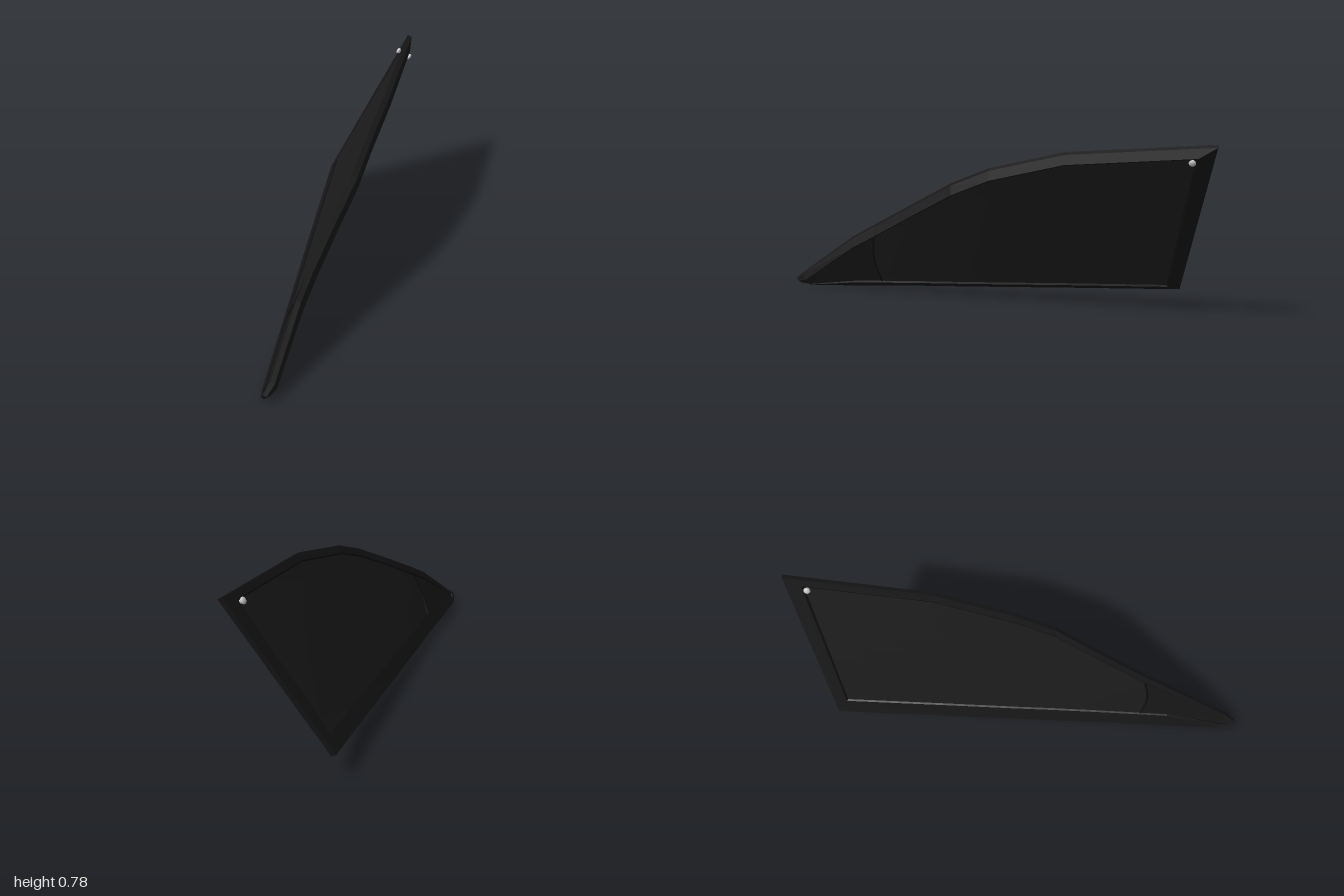
import * as THREE from 'three';

const V = (x, y, z) => new THREE.Vector3(x, y, z);
// direction through the thickness of the leaning panel
const N = V(0.88, -0.476, 0).normalize();

// ribs from rear to front: bottom x, y, z, top x, y, z, thickness factor
const RIBS = [
  [-0.195, 0.105, -0.83, 0.17, 0.782, -1, 1],
  [-0.194, 0.08, -0.33, 0.133, 0.728, -0.37, 1],
  [-0.193, 0.064, -0.03, 0.085, 0.642, -0.03, 1],
  [-0.192, 0.055, 0.15, 0.055, 0.566, 0.15, 1],
  [-0.191, 0.045, 0.36, -0.01, 0.45, 0.36, 1],
  [-0.19, 0.034, 0.555, -0.068, 0.338, 0.56, 1],
  [-0.19, 0.026, 0.68, -0.095, 0.27, 0.68, 0.95],
  [-0.189, 0.0105, 0.92, -0.148, 0.075, 0.955, 0.9],
  [-0.182, 0.022, 0.99, -0.168, 0.042, 1, 0.7],
].map(r => ({ b: V(r[0], r[1], r[2]), t: V(r[3], r[4], r[5]), k: r[6] }));
const DIVIDER = 5;

// ribs shortened by a bottom and top margin, with both ends pulled inwards
function inset(bottom, top, end) {
  const ribs = RIBS.map(r => ({ ...r }));
  const last = ribs.length - 1;
  const pull = (i, j, a) => {
    ribs[i] = { b: RIBS[i].b.clone().lerp(RIBS[j].b, a), t: RIBS[i].t.clone().lerp(RIBS[j].t, a), k: RIBS[i].k };
  };
  pull(0, 1, end);
  pull(last, last - 1, 0.4);
  return ribs.map(r => {
    const len = r.b.distanceTo(r.t);
    return {
      b: r.b.clone().lerp(r.t, Math.min(bottom / len, 0.3)),
      t: r.t.clone().lerp(r.b, Math.min(top / len, 0.3)),
      k: r.k,
    };
  });
}

const at = (r, v, d) => r.b.clone().lerp(r.t, v).addScaledVector(N, d * r.k);

// closed outline around a set of ribs at depth d
const loop = (ribs, d) => {
  const pts = [...ribs.map(r => at(r, 0, d)), ...[...ribs].reverse().map(r => at(r, 1, d))];
  return [...pts, pts[0]];
};

// skin over a list of equally long rows of points
function skin(rows, flat) {
  const n = rows[0].length, pos = [], idx = [];
  rows.forEach(row => row.forEach(p => pos.push(p.x, p.y, p.z)));
  for (let j = 0; j < rows.length - 1; j++) {
    for (let i = 0; i < n - 1; i++) {
      const a = j * n + i, b = a + n;
      idx.push(a, b, b + 1, a, b + 1, a + 1);
    }
  }
  let g = new THREE.BufferGeometry();
  g.setAttribute('position', new THREE.Float32BufferAttribute(pos, 3));
  g.setIndex(idx);
  if (flat) g = g.toNonIndexed();
  g.computeVertexNormals();
  return g;
}

// point on a panel, with the divider rib bowed forwards
const panelPoint = (ribs, i, v, d) => {
  const p = at(ribs[i], v, d);
  if (i === DIVIDER) p.z += 0.02 * Math.sin(Math.PI * v);
  return p;
};

function panel(ribs, from, to, d, outward) {
  const rows = [];
  for (let j = 0; j <= 8; j++) {
    const row = [];
    for (let i = from; i <= to; i++) row.push(panelPoint(ribs, i, j / 8, d));
    rows.push(row);
  }
  return skin(outward ? rows.reverse() : rows, false);
}

export function createModel() {
  const group = new THREE.Group();
  const mat = (name, color) => {
    const m = new THREE.MeshStandardMaterial({ color });
    m.name = name;
    return m;
  };
  const frameMat = mat('frame black', 0x171717);
  const glassMat = mat('tinted glass', 0x1b1b1b);
  const sealMat = mat('rubber seal', 0x0e0e0e);
  const metalMat = mat('pin metal', 0xc4c4c4);
  const add = (name, geo, material) => {
    const m = new THREE.Mesh(geo, material);
    m.name = name;
    group.add(m);
    return m;
  };

  // margins of the upper (outer) and lower (inner) faces
  const outerRim = inset(0.07, 0.035, 0.11), outerPane = inset(0.077, 0.042, 0.125);
  const innerRim = inset(0.035, 0.035, 0.11), innerPane = inset(0.042, 0.042, 0.125);
  const dOut = 0.005, dIn = 0.04;

  // surrounding frame and the seals sunk inside it
  add('frame', skin([loop(outerRim, 0), loop(RIBS, 0), loop(RIBS, 0.022), loop(innerRim, 0.045)], true), frameMat);
  add('outerSeal', skin([loop(outerPane, dOut), loop(outerRim, 0)], true), sealMat);
  add('innerSeal', skin([loop(innerRim, 0.045), loop(innerPane, dIn)], true), sealMat);

  // glass behind the divider and solid infill in front of it, on both faces
  const last = RIBS.length - 1;
  for (const [side, ribs, d, outward] of [['outer', outerPane, dOut, true], ['inner', innerPane, dIn, false]]) {
    add(side + 'Glass', panel(ribs, 0, DIVIDER, d, outward), glassMat);
    add(side + 'FrontInfill', panel(ribs, DIVIDER, last, d, outward), frameMat);
    const pts = [0, 0.25, 0.5, 0.75, 1].map(v => panelPoint(ribs, DIVIDER, v, d));
    add(side + 'DividerSeal', new THREE.TubeGeometry(new THREE.CatmullRomCurve3(pts), 12, 0.005, 6), sealMat);
  }

  // metal pin through the upper rear corner
  const pin = new THREE.Group();
  pin.name = 'pin';
  const shaft = new THREE.Mesh(new THREE.CylinderGeometry(0.009, 0.009, 0.06, 12), metalMat);
  shaft.name = 'pinShaft';
  pin.add(shaft);
  for (const s of [-1, 1]) {
    const head = new THREE.Mesh(new THREE.SphereGeometry(0.015, 14, 10), metalMat);
    head.name = 'pinHead';
    head.scale.y = 0.6;
    head.position.y = s * 0.03;
    pin.add(head);
  }
  pin.quaternion.setFromUnitVectors(V(0, 1, 0), N);
  pin.position.copy(V(0.142, 0.73, -0.9).addScaledVector(N, 0.022));
  group.add(pin);

  return group;
}
